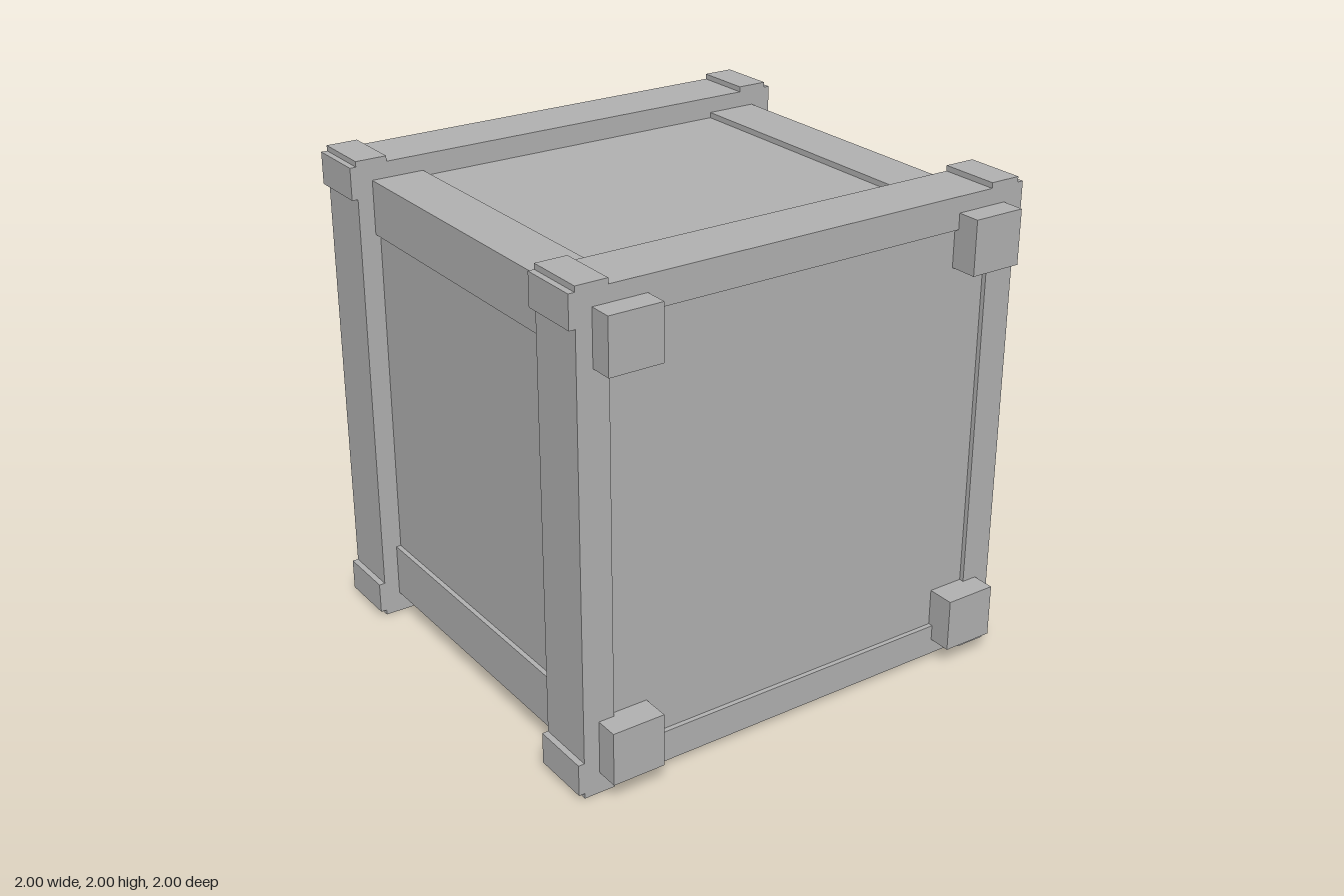
import * as THREE from 'three';

export function createModel() {
  const group = new THREE.Group();
  const grey = new THREE.MeshStandardMaterial({ color: 0xb2b2b2 });
  grey.name = 'plain grey';

  // Box given by its extents on each axis
  const box = (name, [x0, x1], [y0, y1], [z0, z1]) => {
    const mesh = new THREE.Mesh(new THREE.BoxGeometry(x1 - x0, y1 - y0, z1 - z0), grey);
    mesh.position.set((x0 + x1) / 2, (y0 + y1) / 2, (z0 + z1) / 2);
    mesh.name = name;
    group.add(mesh);
  };
  // Range mirrored to either side of a centre
  const side = (s, near, far, c = 0) => (s > 0 ? [c + near, c + far] : [c - far, c - near]);

  // Slightly recessed panels on all six sides form the crate body
  box('panelBody', [-0.89, 0.89], [0.11, 1.89], [-0.885, 0.885]);

  for (const a of [-1, 1]) {
    for (const b of [-1, 1]) {
      // Upright posts, crossing beams and long beams with protruding ends
      box('cornerPost', side(a, 0.845, 0.975), [0, 2], side(b, 0.655, 0.905));
      box('crossBeam', [-1, 1], side(a, 0.848, 0.978, 1), side(b, 0.655, 0.905));
      box('longBeam', side(a, 0.69, 0.91), side(b, 0.693, 0.913, 1), [-1, 1]);
    }
  }

  // Slats under the floor
  for (let i = 0; i < 4; i++) {
    const z = -0.5 + i / 3;
    box('floorSlat', [-0.7, 0.7], [0.06, 0.13], [z - 0.133, z + 0.133]);
  }
  return group;
}
